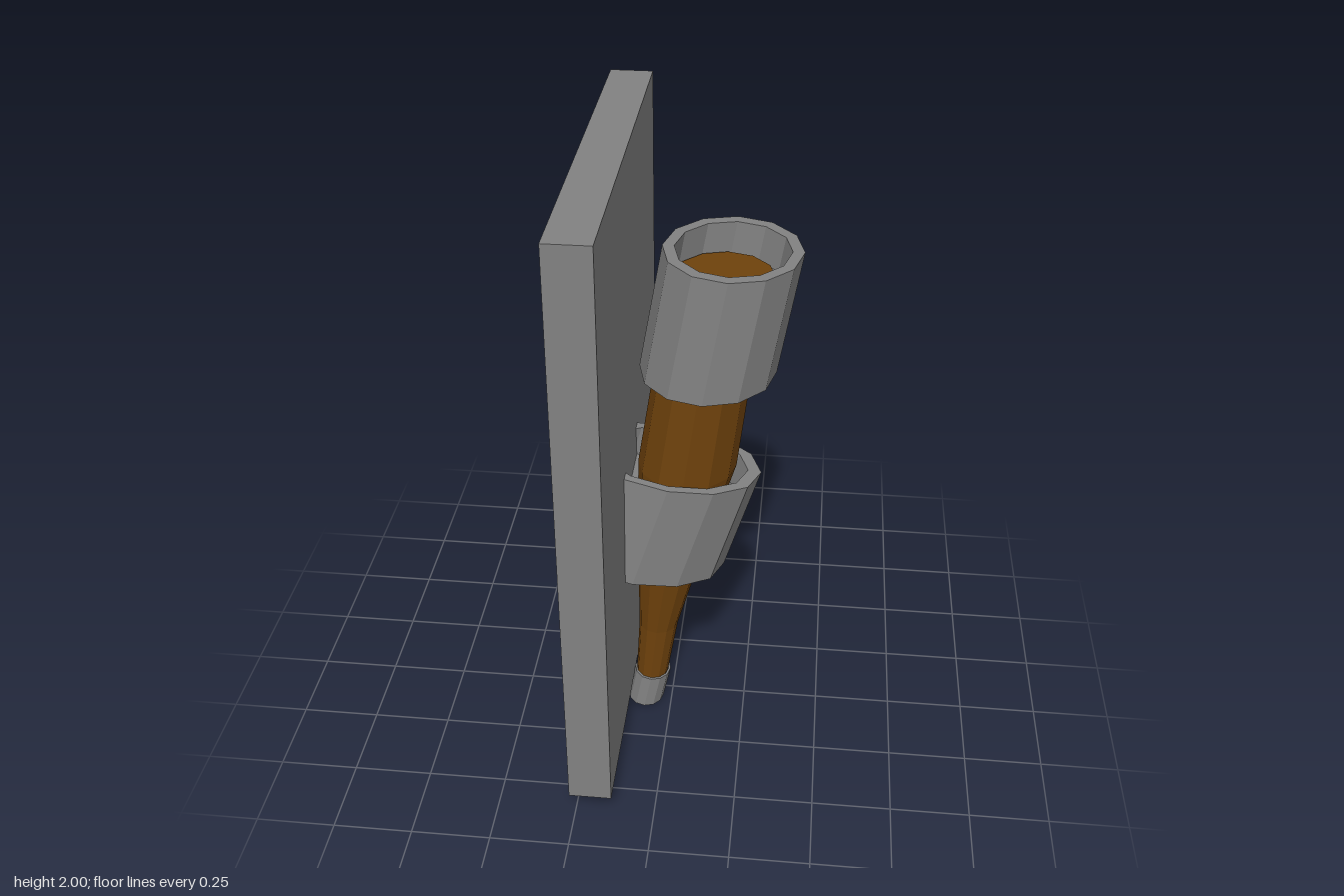
import * as THREE from 'three';

const SIDES = 12;
const metal = new THREE.MeshStandardMaterial({ color: 0x828282, flatShading: true });
const wood = new THREE.MeshStandardMaterial({ color: 0x6f420c, flatShading: true });

// A cross-section: centre, radii along x and z, and slope of the cut along x
const ring = (x, y, z, rx, rz, slope = 0) => ({ x, y, z, rx, rz, slope });
const scaled = (r, k) => ({ ...r, rx: r.rx * k, rz: r.rz * k });

// Cross-section part of the way from one to another
function between(a, b, t) {
  const mix = (key) => THREE.MathUtils.lerp(a[key], b[key], t);
  return ring(mix('x'), mix('y'), mix('z'), mix('rx'), mix('rz'), mix('slope'));
}

// Skin a list of cross-sections, from the bottom up along the outside
function loft(name, rings, material) {
  const positions = [];
  const indices = [];
  for (const r of rings) {
    for (let j = 0; j < SIDES; j++) {
      const a = (j / SIDES) * Math.PI * 2;
      const dx = Math.cos(a) * r.rx;
      positions.push(r.x + dx, r.y + dx * r.slope, r.z + Math.sin(a) * r.rz);
    }
  }
  for (let i = 0; i < rings.length - 1; i++) {
    for (let j = 0; j < SIDES; j++) {
      const k = (j + 1) % SIDES;
      const a = i * SIDES + j, b = i * SIDES + k;
      const c = a + SIDES, d = b + SIDES;
      if (rings[i].rx > 0) indices.push(a, d, b);
      if (rings[i + 1].rx > 0) indices.push(a, c, d);
    }
  }
  const indexed = new THREE.BufferGeometry();
  indexed.setAttribute('position', new THREE.Float32BufferAttribute(positions, 3));
  indexed.setIndex(indices);
  const geometry = indexed.toNonIndexed();
  geometry.computeVertexNormals();
  const mesh = new THREE.Mesh(geometry, material);
  mesh.name = name;
  return mesh;
}

// Sleeve recessed at both ends, with a solid core between the two recesses
function sleeve(name, bottom, top, inner) {
  const low = scaled(between(bottom, top, 0.28), inner);
  const high = scaled(between(bottom, top, 0.72), inner);
  return loft(name, [
    bottom, top, scaled(top, inner), high, scaled(high, 0),
    scaled(low, 0), low, scaled(bottom, inner), bottom,
  ], metal);
}

export function createModel() {
  const model = new THREE.Group();
  model.name = 'wallTorch';

  // Wall panel
  const panel = new THREE.Mesh(new THREE.BoxGeometry(0.134, 1.905, 1.27), metal);
  panel.name = 'wallPanel';
  panel.position.set(-0.197, 1.0475, 0);
  model.add(panel);

  // Leaning wooden handle, closed at both ends
  const foot = ring(-0.088, 0.012, 0.043, 0.052, 0.057);
  const head = ring(0.15, 1.62, 0.003, 0.15, 0.158);
  model.add(loft('handle', [
    scaled(foot, 0),
    foot,
    ring(-0.066, 0.13, 0.042, 0.054, 0.056),
    ring(-0.045, 0.33, 0.038, 0.065, 0.067),
    ring(-0.005, 0.63, 0.032, 0.107, 0.107),
    ring(0.047, 0.97, 0.02, 0.155, 0.156),
    ring(0.093, 1.315, 0.017, 0.148, 0.15),
    head,
    scaled(head, 0),
  ], wood));

  // Cup at the top, ferrule at the foot
  model.add(sleeve('topCup',
    ring(0.107, 1.313, 0.017, 0.208, 0.222),
    ring(0.175, 1.711, 0.012, 0.206, 0.222, -0.012), 0.83));
  model.add(sleeve('footFerrule',
    ring(-0.089, 0.003, 0.043, 0.06, 0.067, -0.03),
    ring(-0.065, 0.125, 0.042, 0.061, 0.067, -0.03), 0.88));

  // Oval bracket holding the handle and running through the panel
  model.add(sleeve('wallBracket',
    ring(-0.107, 0.626, 0.036, 0.278, 0.187, -0.126),
    ring(0.005, 0.993, 0.034, 0.276, 0.187, -0.133), 0.85));

  return model;
}
